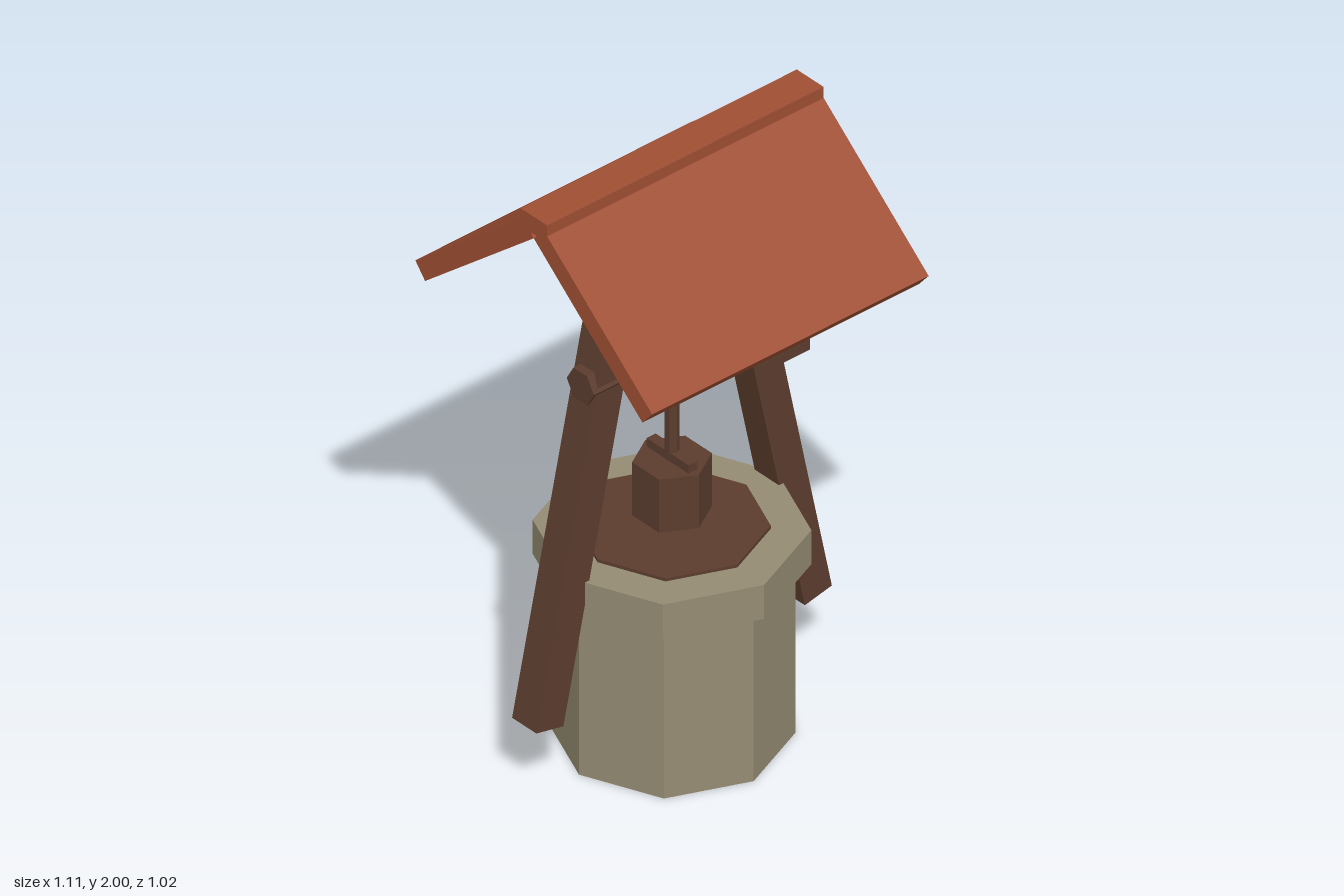
import * as THREE from 'three';

export function createModel() {
  const well = new THREE.Group();
  well.name = 'well';

  const material = (name, color) => {
    const m = new THREE.MeshStandardMaterial({ color, flatShading: true });
    m.name = name;
    return m;
  };
  const stone = material('stone', 0x958c73);
  const wood = material('wood', 0x5c3d2e);
  const tile = material('roofTile', 0xa04f33);

  const add = (name, geometry, mat, x, y, z) => {
    const mesh = new THREE.Mesh(geometry, mat);
    mesh.name = name;
    mesh.position.set(x, y, z);
    well.add(mesh);
    return mesh;
  };
  const box = (name, mat, w, h, d, x, y, z) =>
    add(name, new THREE.BoxGeometry(w, h, d), mat, x, y, z);
  const prism = (name, mat, r, h, sides, y) =>
    add(name, new THREE.CylinderGeometry(r, r, h, sides), mat, 0, y, 0);

  // Octagonal stone shaft, rim and wooden lid
  prism('shaft', stone, 0.35, 0.6, 8, 0.3);
  prism('rim', stone, 0.395, 0.117, 8, 0.641);
  prism('lid', wood, 0.28, 0.05, 8, 0.685);

  // Leaning posts and the beam that joins their tops
  for (const side of [1, -1]) {
    const post = box(side > 0 ? 'leftPost' : 'rightPost', wood,
      0.104, 1.5, 0.104, side * 0.349, 0.986, 0);
    post.rotation.z = side * THREE.MathUtils.degToRad(12);
  }
  box('topBeam', wood, 0.56, 0.09, 0.088, 0, 1.647, 0);

  // Six-sided axle with crank
  prism('axle', wood, 0.058, 0.69, 6, 1.335).rotation.z = Math.PI / 2;
  box('crankArm', wood, 0.052, 0.268, 0.056, 0.381, 1.226, 0);
  box('crankHandle', wood, 0.09, 0.054, 0.056, 0.45, 1.119, 0);

  // Rope and bucket
  prism('rope', wood, 0.021, 0.38, 6, 1.12);
  prism('bucket', wood, 0.115, 0.183, 6, 0.84);
  box('bucketHandle', wood, 0.034, 0.036, 0.18, 0, 0.942, 0);

  // Two roof slabs under a ridge cap
  for (const side of [1, -1]) {
    const slab = box(side > 0 ? 'frontRoof' : 'backRoof', tile,
      1.04, 0.065, 0.608, 0, 1.755, side * 0.254);
    slab.rotation.x = side * THREE.MathUtils.degToRad(40);
  }
  box('ridgeCap', tile, 1.04, 0.06, 0.115, 0, 1.97, 0);

  return well;
}
